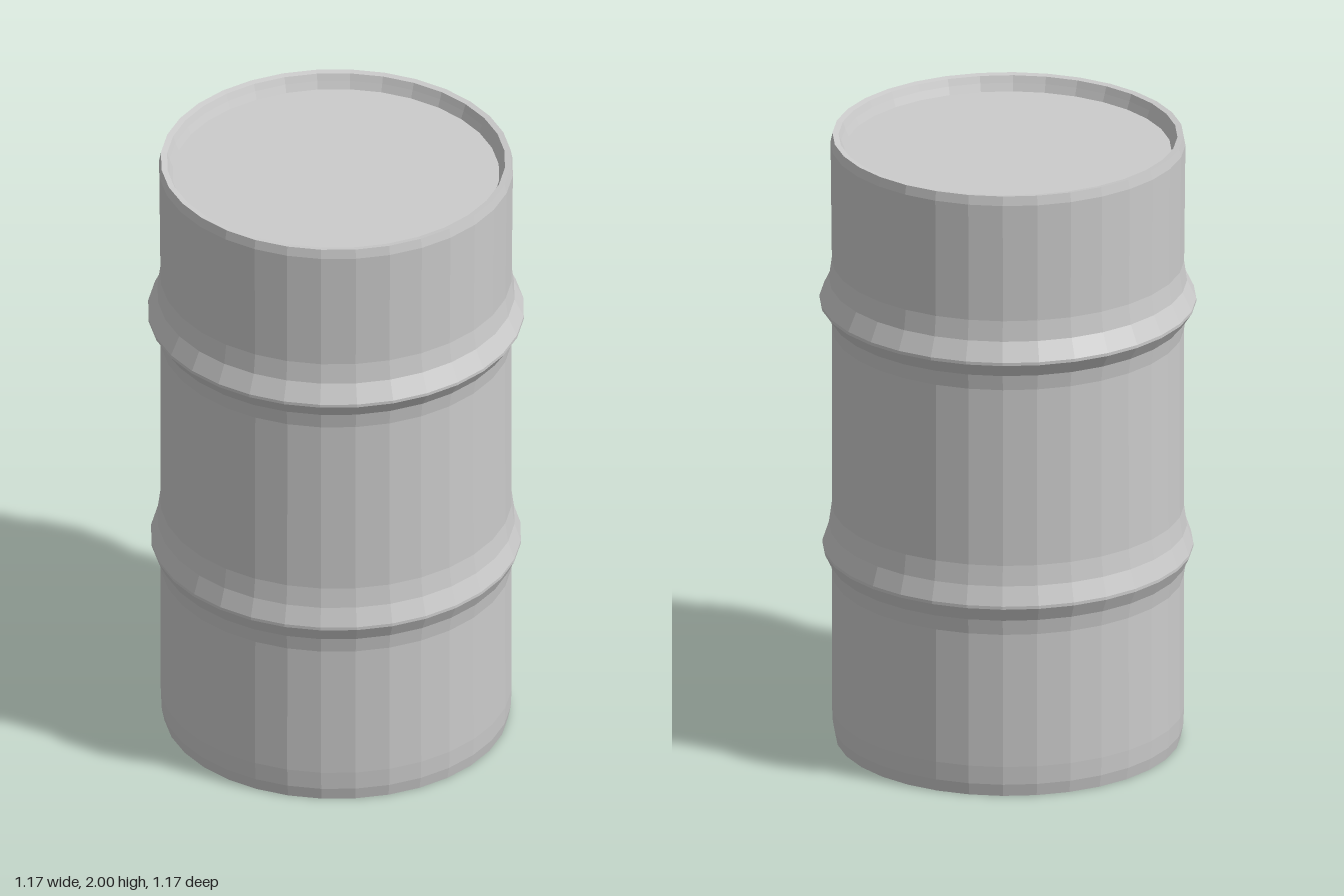
import * as THREE from 'three';

const SIDES = 32;
const INNER = 0.51; // radius of the recessed lids

export function createModel() {
  const barrel = new THREE.Group();
  barrel.name = 'barrel';
  const material = new THREE.MeshStandardMaterial({ color: 0xcccccc, flatShading: true });

  function add(name, geometry, y = 0) {
    const mesh = new THREE.Mesh(geometry, material);
    mesh.name = name;
    mesh.position.y = y;
    barrel.add(mesh);
    return mesh;
  }
  const lathe = (points) =>
    new THREE.LatheGeometry(points.map(([r, y]) => new THREE.Vector2(r, y)), SIDES);

  // Profile of a pressed ridge: flared below, sharp crest, longer slope above
  const ridge = (y, r) => [
    [0.548, y - 0.1], [0.556, y - 0.05], [r, y - 0.005], [r, y + 0.005],
    [0.558, y + 0.065], [0.549, y + 0.13],
  ];

  // Wall with both ridges, running from the bottom rim to the top rim
  add('wall', lathe([
    [0.538, 0], [0.546, 0.04], [0.549, 0.1],
    ...ridge(0.64, 0.578),
    ...ridge(1.455, 0.587),
    [0.553, 1.97], [0.547, 2],
  ]));

  // Rolled rims: narrow lip, then the inner side of the recess
  add('topRim', lathe([[0.547, 2], [0.528, 1.997], [0.52, 1.975], [INNER, 1.95]]));
  add('bottomRim', lathe([[INNER, 0.05], [0.517, 0.02], [0.525, 0], [0.538, 0]]));

  // Recessed flat ends; the half turn offset matches the lathe's vertices
  add('topLid', new THREE.CircleGeometry(INNER, SIDES), 1.95).rotation.x = -Math.PI / 2;
  add('bottomLid', new THREE.CircleGeometry(INNER, SIDES), 0.05).rotation.x = Math.PI / 2;

  return barrel;
}
